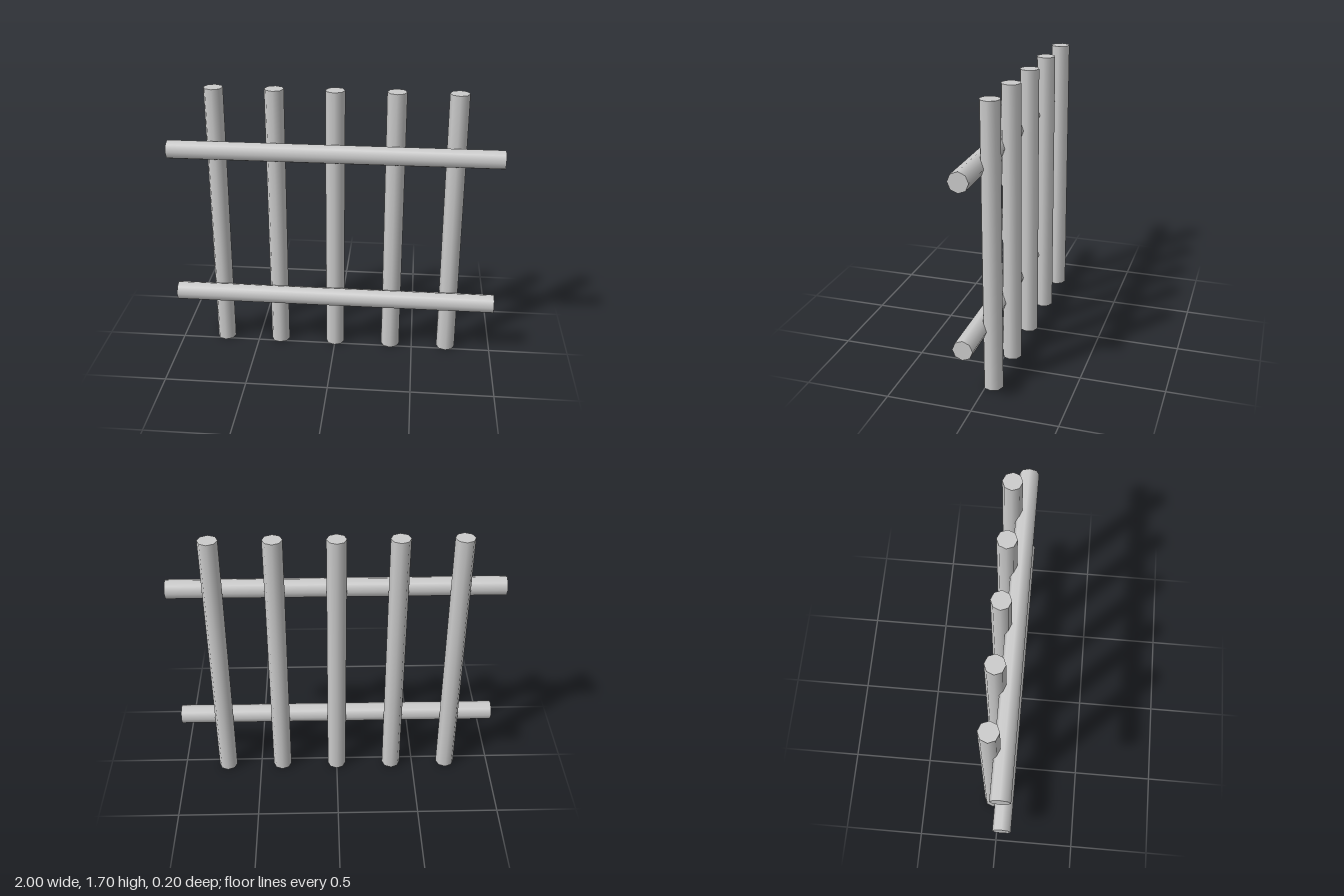
import * as THREE from 'three';

export function createModel() {
  const group = new THREE.Group();
  const material = new THREE.MeshStandardMaterial({ color: 0xcccccc });
  const radius = 0.0585, offset = 0.04;

  // Upright posts, behind the rails
  const postGeometry = new THREE.CylinderGeometry(radius, radius, 1.7, 8);
  for (let i = -2; i <= 2; i++) {
    const post = new THREE.Mesh(postGeometry, material);
    post.name = 'post' + (i + 3);
    post.position.set(i * 0.36, 0.85, -offset);
    group.add(post);
  }

  // Horizontal rails, overlapping the front of the posts
  const railGeometry = new THREE.CylinderGeometry(radius, radius, 2, 8).rotateZ(Math.PI / 2);
  for (const [name, y] of [['lowerRail', 0.372], ['upperRail', 1.333]]) {
    const rail = new THREE.Mesh(railGeometry, material);
    rail.name = name;
    rail.position.set(0, y, offset);
    group.add(rail);
  }
  return group;
}
